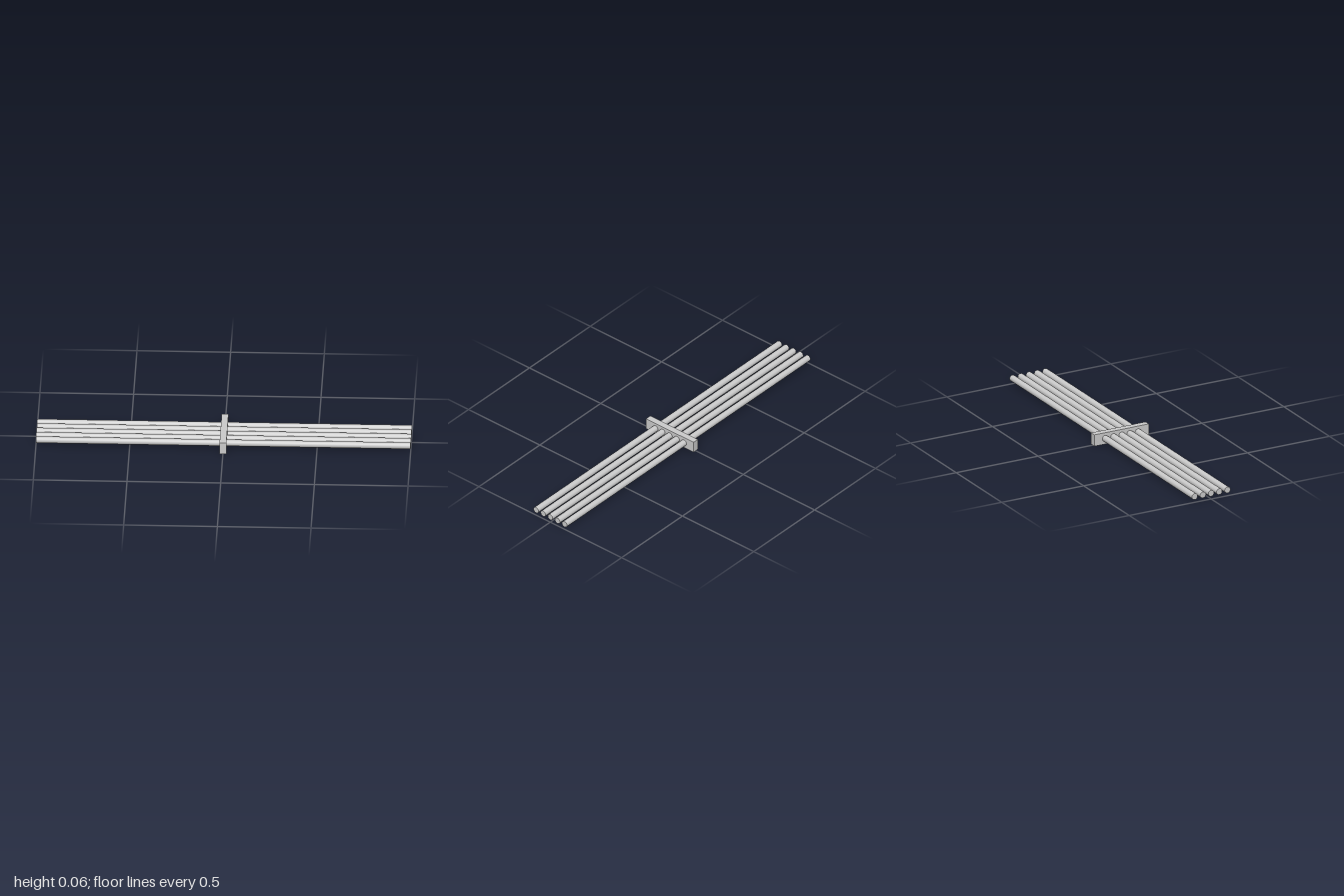
import * as THREE from 'three';

export function createModel() {
  const model = new THREE.Group();
  const material = new THREE.MeshStandardMaterial({ color: 0xcccccc });
  const height = 0.065;

  // Upright crossbar holding the rods at mid length
  const bar = new THREE.Mesh(new THREE.BoxGeometry(0.036, height, 0.333), material);
  bar.name = 'crossbar';
  bar.position.y = height / 2;
  model.add(bar);

  // Five parallel round rods running through the crossbar
  const rodGeometry = new THREE.CylinderGeometry(0.0175, 0.0175, 2, 32).rotateZ(Math.PI / 2);
  for (let i = -2; i <= 2; i++) {
    const rod = new THREE.Mesh(rodGeometry, material);
    rod.name = `rod${i + 3}`;
    rod.position.set(0, height / 2, i * 0.05);
    model.add(rod);
  }
  return model;
}
